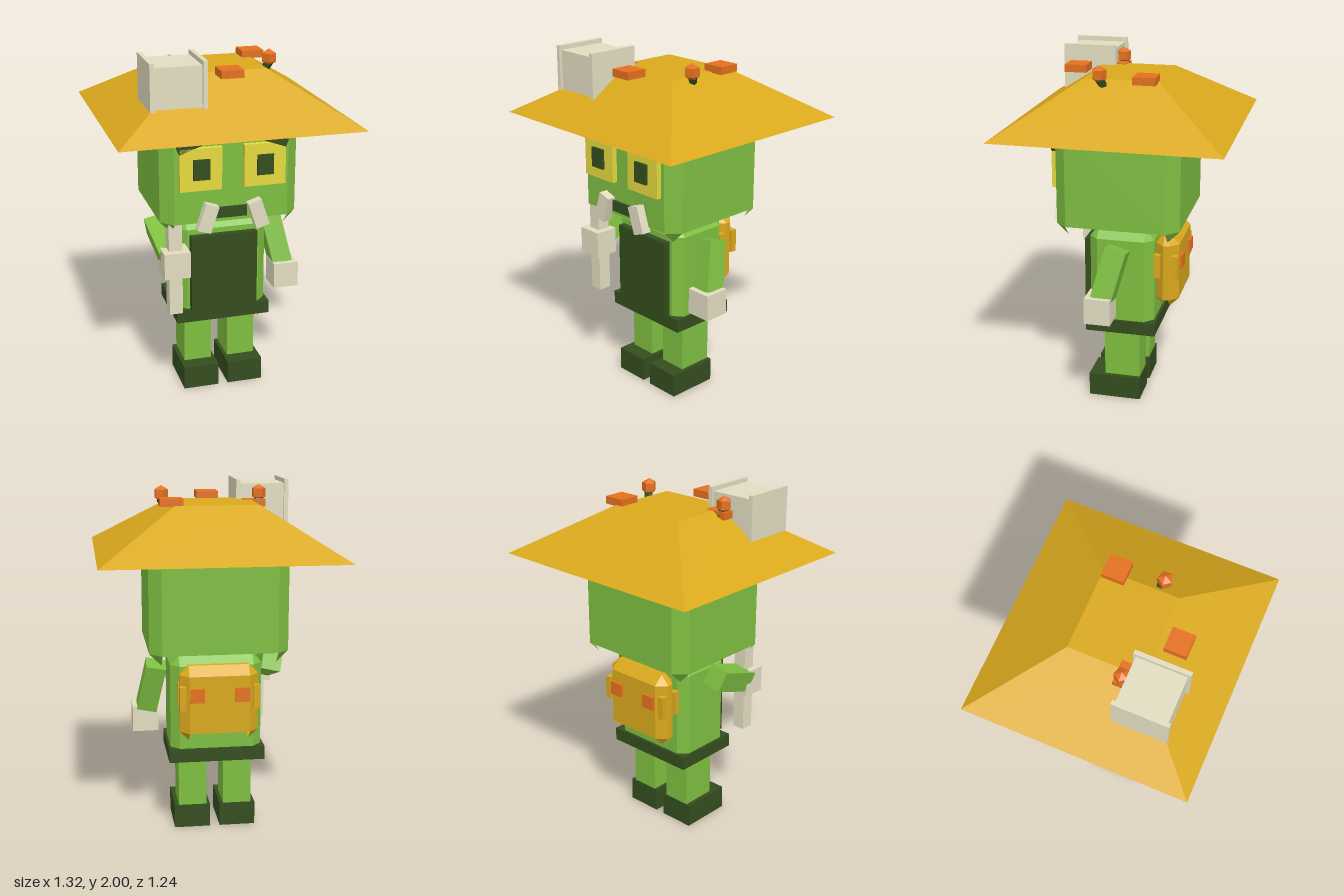
import * as THREE from 'three';

const paint = (name, color, side = THREE.FrontSide) => {
  const m = new THREE.MeshStandardMaterial({ color, side });
  m.name = name;
  return m;
};

// Bevelled box whose underside is left open, with corner tips hanging down
function bevelBox(w, h, d, b) {
  const X = w / 2, Y = h / 2, Z = d / 2, x = X - b, y = Y - b, z = Z - b;
  const pos = [];
  const tri = (...pts) => {
    const [p, q, r] = pts.map((v) => new THREE.Vector3(...v));
    const n = q.clone().sub(p).cross(r.clone().sub(p));
    const outward = n.dot(p.clone().add(q).add(r)) > 0;
    (outward ? [p, q, r] : [p, r, q]).forEach((v) => pos.push(v.x, v.y, v.z));
  };
  const quad = (p, q, r, s) => { tri(p, q, r); tri(p, r, s); };
  quad([-x, Y, -z], [x, Y, -z], [x, Y, z], [-x, Y, z]);
  for (const s of [-1, 1]) {
    // walls and top bevels
    quad([-x, -y, s * Z], [x, -y, s * Z], [x, y, s * Z], [-x, y, s * Z]);
    quad([s * X, -y, -z], [s * X, -y, z], [s * X, y, z], [s * X, y, -z]);
    quad([-x, y, s * Z], [x, y, s * Z], [x, Y, s * z], [-x, Y, s * z]);
    quad([s * X, y, -z], [s * X, y, z], [s * x, Y, z], [s * x, Y, -z]);
    for (const t of [-1, 1]) {
      // upright bevels and corners
      quad([s * X, -y, t * z], [s * x, -y, t * Z], [s * x, y, t * Z], [s * X, y, t * z]);
      for (const u of [-1, 1]) tri([s * X, u * y, t * z], [s * x, u * y, t * Z], [s * x, u * Y, t * z]);
    }
  }
  const g = new THREE.BufferGeometry();
  g.setAttribute('position', new THREE.Float32BufferAttribute(pos, 3));
  g.computeVertexNormals();
  return g;
}

// Box without a bottom
function openBox(w, h, d) {
  const g = new THREE.BoxGeometry(w, h, d);
  const idx = [...g.index.array];
  idx.splice(18, 6);
  g.setIndex(idx);
  g.clearGroups();
  return g;
}

// Hollow four-sided hat shell
function hatShell() {
  const g = openBox(2, 1, 2);
  const p = g.attributes.position;
  for (let i = 0; i < p.count; i++) {
    const top = p.getY(i) > 0;
    p.setXYZ(i, p.getX(i) * (top ? 0.23 : 0.66), top ? 1.89 : 1.62, p.getZ(i) * (top ? 0.205 : 0.62));
  }
  g.computeVertexNormals();
  return g;
}

export function createModel() {
  const root = new THREE.Group();
  const green = paint('skin green', 0x7ebe40, THREE.DoubleSide);
  const dark = paint('dark green', 0x344d1e, THREE.DoubleSide);
  const gold = paint('straw gold', 0xd9a81c, THREE.DoubleSide);
  const yellow = paint('eye yellow', 0xe5d93e);
  const cream = paint('bone', 0xe2dcc0);
  const orange = paint('orange', 0xe4701e);

  const add = (name, geometry, material, position = [0, 0, 0]) => {
    const m = new THREE.Mesh(geometry, material);
    m.name = name;
    m.position.set(...position);
    root.add(m);
    return m;
  };
  // Box given by its extents on each axis
  const span = (name, mat, [x0, x1], [y0, y1], [z0, z1]) =>
    add(name, new THREE.BoxGeometry(x1 - x0, y1 - y0, z1 - z0), mat,
      [(x0 + x1) / 2, (y0 + y1) / 2, (z0 + z1) / 2]);
  const box = (name, mat, size, position) => add(name, new THREE.BoxGeometry(...size), mat, position);

  // Head and torso
  add('head', bevelBox(0.77, 0.625, 0.69, 0.067), green, [0, 1.342, 0]);
  add('torso', bevelBox(0.52, 0.62, 0.37, 0.05), green, [0, 0.735, 0]);
  span('apron', dark, [-0.195, 0.19], [0.512, 0.965], [0.18, 0.224]);
  add('belt', openBox(0.547, 0.077, 0.402), dark, [-0.001, 0.4735, 0.001]);

  // Face and legs, mirrored
  span('mouth', dark, [-0.087, 0.083], [1.12, 1.18], [0.335, 0.36]);
  for (const s of [-1, 1]) {
    box('eye', yellow, [0.232, 0.235, 0.035], [s * 0.178, 1.408, 0.3575]);
    box('pupil', dark, [0.09, 0.112, 0.03], [s * 0.177, 1.41, 0.375]);
    box('brow', dark, [0.265, 0.055, 0.04], [s * 0.178, 1.567, 0.355]).rotation.z = -s * 0.34;
    box('tusk', cream, [0.077, 0.155, 0.055], [s * 0.142, 1.133, 0.367]).rotation.z = s * 0.32;
    box('leg', green, [0.163, 0.3, 0.207], [s * 0.13, 0.27, 0.002]);
    add('boot', openBox(0.207, 0.137, 0.302), dark, [s * 0.132, 0.0685, 0.044]);
  }

  // Left arm hanging, right arm reaching for the hammer
  box('leftArm', green, [0.115, 0.29, 0.12], [0.355, 0.832, 0.035]).rotation.set(-0.25, 0, 0.2, 'ZXY');
  box('leftHand', cream, [0.147, 0.15, 0.148], [0.391, 0.64, 0.085]);
  box('rightArm', green, [0.115, 0.3, 0.12], [-0.335, 0.925, 0.12]).rotation.set(-1.22, 0, 0.22, 'ZXY');
  box('rightHand', cream, [0.147, 0.15, 0.135], [-0.306, 0.86, 0.288]);

  // Hammer, its handle passing up through the hat
  span('hammerHandle', cream, [-0.345, -0.27], [0.555, 1.77], [0.24, 0.315]);
  span('hammerHead', cream, [-0.435, -0.175], [1.755, 1.975], [0.138, 0.41]);
  for (const x of [-0.443, -0.165]) box('hammerCap', cream, [0.024, 0.25, 0.3], [x, 1.875, 0.275]);

  // Hat with tiles and berries
  add('hat', hatShell(), gold);
  const tiles = [[-0.002, 1.905, 0.3], [0.246, 1.905, -0.14], [-0.25, 1.872, 0.133]];
  for (const at of tiles) box('hatTile', orange, [0.124, 0.042, 0.122], at);
  const berry = new THREE.SphereGeometry(0.047, 5, 3).toNonIndexed();
  berry.computeVertexNormals();
  const stem = new THREE.CylinderGeometry(0.024, 0.024, 0.17, 5).toNonIndexed();
  stem.computeVertexNormals();
  for (const s of [-1, 1]) {
    add('berry', berry, orange, [s * 0.278, 1.927, 0.108]);
    add('berryStem', stem, dark, [s * 0.245, 1.83, 0.075]).rotation.set(0.4, 0, -s * 0.45);
  }

  // Backpack with buckles and side clips
  add('backpack', bevelBox(0.44, 0.43, 0.135, 0.052), gold, [0, 0.805, -0.25]);
  for (const s of [-1, 1]) {
    box('packBuckle', orange, [0.08, 0.078, 0.03], [s * 0.125, 0.862, -0.32]);
    for (const z of [-0.298, -0.2]) box('packClip', gold, [0.036, 0.135, 0.038], [s * 0.205, 0.843, z]);
  }
  return root;
}
